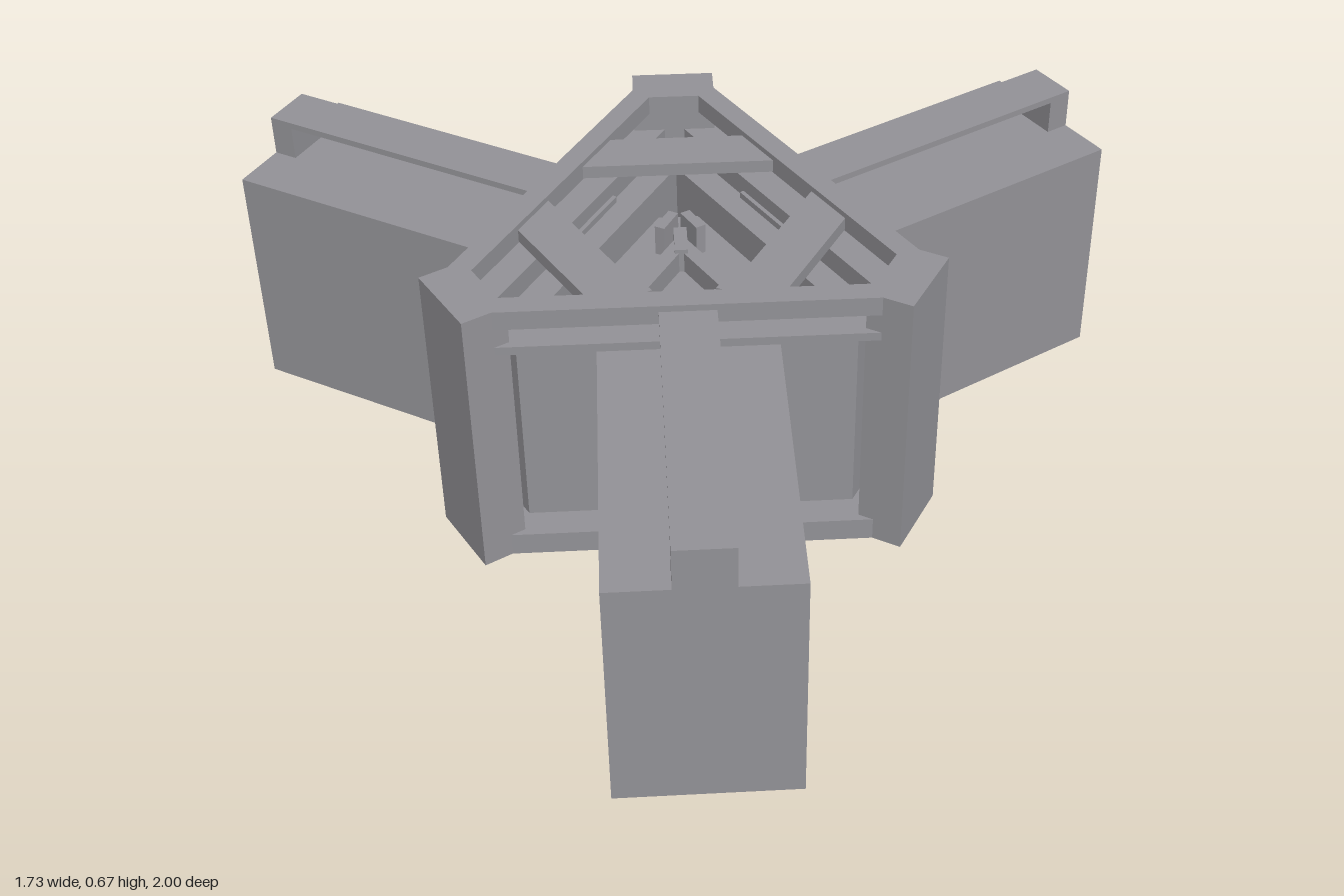
import * as THREE from 'three';

const steel = new THREE.MeshStandardMaterial({ color: 0x939297 });
steel.name = 'steel grey';

const TAN30 = Math.tan(Math.PI / 6);

function mesh(name, geometry, parent) {
  const m = new THREE.Mesh(geometry, steel);
  m.name = name;
  parent.add(m);
  return m;
}

// Box from radius r0 to r1, half-width w, height y0 to y1
function radialBox(name, r0, r1, w, y0, y1, parent) {
  const g = new THREE.BoxGeometry(r1 - r0, y1 - y0, 2 * w);
  g.translate((r0 + r1) / 2, (y0 + y1) / 2, 0);
  return mesh(name, g, parent);
}

// Triangle of inradius a whose corners are cut off at radius cut
function triangle(a, cut = 2 * a) {
  const w = (2 * a - cut) * TAN30;
  const pts = [];
  for (let k = 0; k < 3; k++) {
    const d = Math.PI / 3 + (k * 2 * Math.PI) / 3;
    for (const t of w > 0.001 ? [-w, w] : [0]) {
      pts.push(new THREE.Vector2(
        cut * Math.cos(d) - t * Math.sin(d),
        cut * Math.sin(d) + t * Math.cos(d)));
    }
  }
  return pts;
}

// Flat shape raised from y0 to y1, with an optional hole
function slab(name, outline, y0, y1, parent, hole) {
  const shape = new THREE.Shape(outline);
  if (hole) shape.holes.push(new THREE.Path(hole));
  const g = new THREE.ExtrudeGeometry(shape, { depth: y1 - y0, bevelEnabled: false });
  g.rotateX(-Math.PI / 2);
  g.translate(0, y0, 0);
  return mesh(name, g, parent);
}

function arm() {
  const g = new THREE.Group();
  g.name = 'arm';
  radialBox('armBody', 0.325, 1.045, 0.19, 0, 0.555, g);
  radialBox('armNeck', 0.25, 0.33, 0.15, 0, 0.54, g);
  radialBox('railEndBlock', 0.99, 1.045, 0.06, 0.55, 0.65, g);
  radialBox('rail', 0.3, 1.0, 0.06, 0.635, 0.65, g);

  // ceiling beam with a sloping underside
  const profile = new THREE.Shape([
    [0.26, 0.525], [0.27, 0.525], [0.34, 0.555], [0.34, 0.575], [0.26, 0.575],
  ].map(p => new THREE.Vector2(...p)));
  const beam = new THREE.ExtrudeGeometry(profile, { depth: 0.81, bevelEnabled: false });
  beam.translate(0, 0, -0.405);
  mesh('ceilingBeam', beam, g);
  return g;
}

function corner() {
  const g = new THREE.Group();
  g.name = 'corner';
  radialBox('post', 0.48, 0.583, 0.095, 0, 0.665, g);

  // bar across the corner of the top frame
  const half = r => (0.595 - r) * TAN30;
  slab('crossBar', [
    [0.21, -half(0.21)], [0.32, -half(0.32)], [0.32, half(0.32)], [0.21, half(0.21)],
  ].map(p => new THREE.Vector2(...p)), 0.622, 0.652, g);

  // small clamp inside the core
  radialBox('clampStem', 0.09, 0.18, 0.015, 0.44, 0.5, g);
  for (const s of [-1, 1]) {
    const jaw = radialBox('clampJaw', -0.035, 0.035, 0.012, 0.44, 0.515, g);
    jaw.position.set(0.19, 0, s * 0.03);
    jaw.rotation.y = s * 0.5;
  }
  return g;
}

export function createModel() {
  const model = new THREE.Group();
  model.name = 'threeArmedFrame';
  const body = new THREE.Group();
  body.name = 'body';
  body.position.x = -0.18;
  model.add(body);

  // central frame and hollow core
  slab('basePlate', triangle(0.34, 0.56), 0, 0.055, body);
  slab('coreWall', triangle(0.27, 0.447), 0.05, 0.525, body, triangle(0.195));
  slab('coreFloor', triangle(0.197, 0.31), 0.4, 0.44, body);
  slab('coreRing', triangle(0.085, 0.15), 0.43, 0.49, body, triangle(0.05));
  slab('topFrame', triangle(0.34, 0.56), 0.62, 0.665, body, triangle(0.29, 0.525));

  // three arms with corner posts between them
  for (let k = 0; k < 3; k++) {
    const a = arm();
    a.rotation.y = (k * 2 * Math.PI) / 3;
    const c = corner();
    c.rotation.y = a.rotation.y + Math.PI / 3;
    body.add(a, c);
  }
  return model;
}
